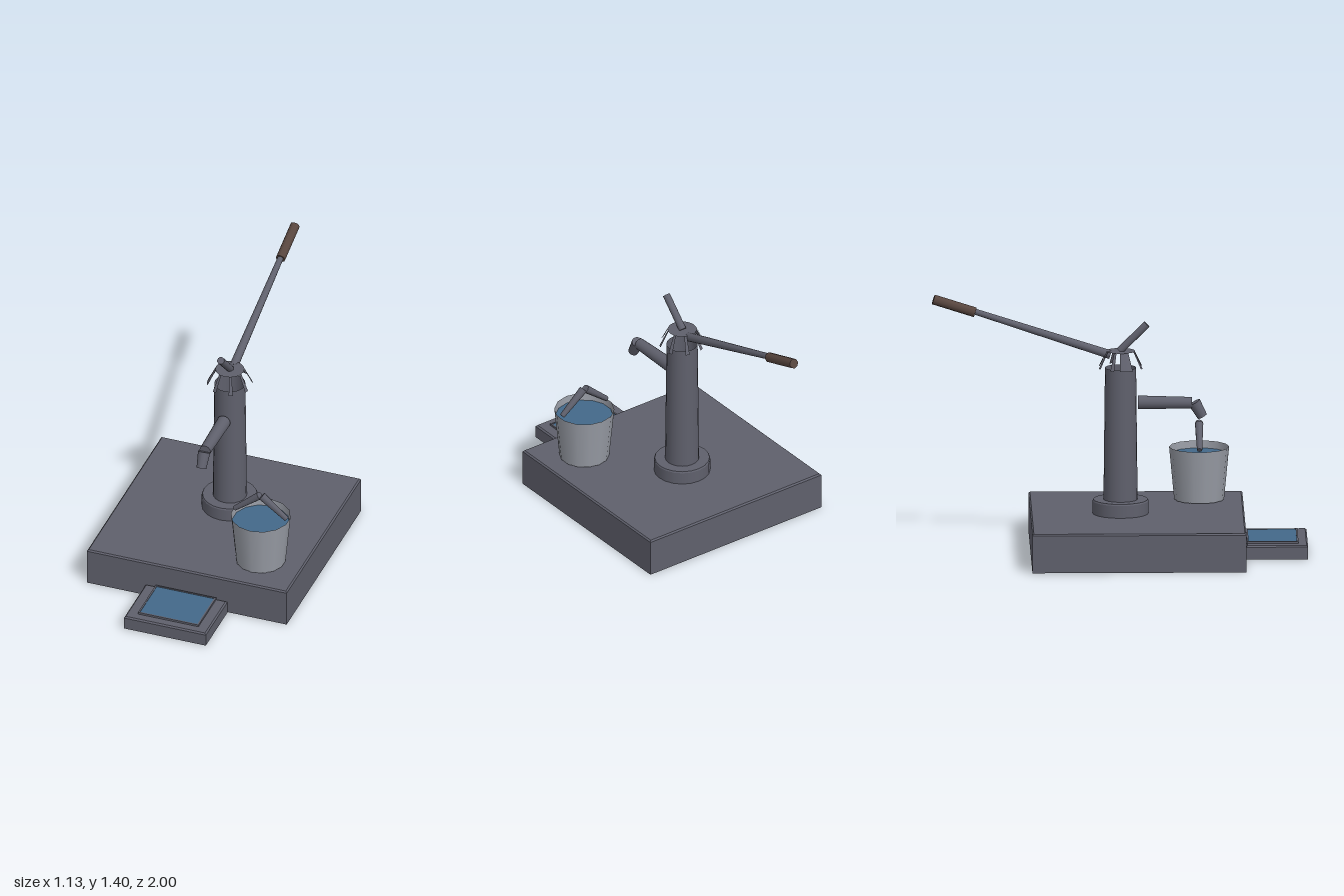
import * as THREE from 'three';

const mat = (name, color, flatShading = false) => {
  const m = new THREE.MeshStandardMaterial({ color, side: THREE.DoubleSide, flatShading });
  m.name = name;
  return m;
};

export function createModel() {
  const iron = mat('darkIron', 0x5f606c);
  const zinc = mat('zinc', 0x989ca5);
  const water = mat('water', 0x43698a);
  const wood = mat('gripWood', 0x58463f);
  iron.flatShading = false;

  const model = new THREE.Group();
  model.name = 'handPump';

  const add = (name, geometry, material, x = 0, y = 0, z = 0, parent = model) => {
    const mesh = new THREE.Mesh(geometry, material);
    mesh.name = name;
    mesh.position.set(x, y, z);
    parent.add(mesh);
    return mesh;
  };

  // Round bar from a to b, with its own radius at each end
  const bar = (name, a, b, ra, rb, material, sides = 12, parent = model) => {
    const p = new THREE.Vector3(...a), q = new THREE.Vector3(...b);
    const dir = q.clone().sub(p);
    const mesh = add(name, new THREE.CylinderGeometry(rb, ra, dir.length(), sides), material, 0, 0, 0, parent);
    mesh.position.copy(p).add(q).multiplyScalar(0.5);
    mesh.quaternion.setFromUnitVectors(new THREE.Vector3(0, 1, 0), dir.normalize());
    return mesh;
  };

  // Hollow block, open underneath, with a small chamfer round the top
  const shell = (name, w, h, d, x, z) => {
    const c = 0.008;
    const rings = [[0, 0], [0, h - c], [c, h], [w / 2, h]].map(([inset, y]) => {
      const i = Math.min(inset, w / 2, d / 2), X = w / 2 - i, Z = inset > c ? 0 : d / 2 - i;
      return [[-X, y, Z], [X, y, Z], [X, y, -Z], [-X, y, -Z]];
    });
    const pos = [];
    for (let r = 0; r < 3; r++) {
      for (let k = 0; k < 4; k++) {
        const n = (k + 1) % 4;
        const [a, b, e, f] = [rings[r][k], rings[r][n], rings[r + 1][n], rings[r + 1][k]];
        pos.push(...a, ...b, ...e, ...a, ...e, ...f);
      }
    }
    const g = new THREE.BufferGeometry();
    g.setAttribute('position', new THREE.Float32BufferAttribute(pos, 3));
    g.computeVertexNormals();
    return add(name, g, iron, x, 0, z);
  };

  // Plinth and the drain basin in front of it
  shell('plinth', 1.135, 0.21, 1.14, 0, 0.095);
  shell('basin', 0.465, 0.075, 0.33, 0, 0.835);
  const rim = new THREE.Shape([[-0.172, -0.137], [0.172, -0.137], [0.172, 0.137], [-0.172, 0.137]]
    .map(p => new THREE.Vector2(...p)));
  rim.holes.push(new THREE.Path([[-0.163, -0.128], [-0.163, 0.128], [0.163, 0.128], [0.163, -0.128]]
    .map(p => new THREE.Vector2(...p))));
  const rimMesh = add('basinRim', new THREE.ExtrudeGeometry(rim, { depth: 0.012, bevelEnabled: false }),
    iron, 0, 0.074, 0.813);
  rimMesh.rotation.x = -Math.PI / 2;
  add('basinWater', new THREE.BoxGeometry(0.326, 0.008, 0.256), water, 0, 0.079, 0.813);

  // Flange and hollow column
  add('flange', new THREE.CylinderGeometry(0.146, 0.15, 0.008, 20), iron, 0, 0.281, 0.005);
  add('flangeSide', new THREE.CylinderGeometry(0.15, 0.15, 0.067, 20, 1, true), iron, 0, 0.2435, 0.005);
  add('column', new THREE.CylinderGeometry(0.083, 0.091, 0.72, 20, 1, true), iron, 0, 0.64, 0.005);

  // Cap: flat disc held over the column by sloping straps
  const cap = new THREE.Group();
  cap.name = 'cap';
  cap.position.z = 0.005;
  model.add(cap);
  const disc = add('capDisc', new THREE.CircleGeometry(0.078, 16), iron, 0, 1.09, 0, cap);
  disc.rotation.x = -Math.PI / 2;
  for (let k = 0; k < 8; k++) {
    const a = Math.PI / 8 + k * Math.PI / 4;
    add('capStrap', new THREE.CylinderGeometry(0.077, 0.122, 0.09, 1, 1, true, a - 0.09, 0.18),
      iron, 0, 1.045, 0, cap);
  }
  add('capPanel', new THREE.CylinderGeometry(0.077, 0.122, 0.09, 3, 1, true, -Math.PI / 2 - 0.05, 0.6),
    iron, 0, 1.045, 0, cap);

  // Lever, grip and the short front arm
  bar('lever', [0, 1.07, -0.05], [0, 1.31, -0.78], 0.024, 0.016, iron);
  bar('leverGrip', [0, 1.303, -0.77], [0, 1.374, -0.992], 0.027, 0.027, wood, 8);
  bar('frontArm', [0, 1.09, 0.0], [0, 1.235, 0.145], 0.02, 0.02, iron);

  // Spout with a turned-down nozzle
  bar('spout', [0, 0.81, 0.098], [0, 0.807, 0.385], 0.037, 0.031, iron, 16);
  bar('nozzle', [0, 0.809, 0.398], [0, 0.732, 0.441], 0.034, 0.027, iron, 12);

  // Bucket with water and a peaked handle
  const bucket = new THREE.Group();
  bucket.name = 'bucket';
  bucket.position.set(0.333, 0, 0.43);
  model.add(bucket);
  add('bucketWall', new THREE.CylinderGeometry(0.16, 0.133, 0.285, 14, 1, true), zinc, 0, 0.3575, 0, bucket);
  const floor = add('bucketFloor', new THREE.CircleGeometry(0.133, 14), zinc, 0, 0.216, 0, bucket);
  floor.rotation.x = -Math.PI / 2;
  const surface = add('bucketWater', new THREE.CircleGeometry(0.154, 14), water, 0, 0.46, 0, bucket);
  surface.rotation.set(-Math.PI / 2, 0, -Math.PI / 2);
  for (const s of [-1, 1]) {
    bar('bucketHandle', [s * 0.147, 0.51, 0], [s * 0.006, 0.625, 0], 0.014, 0.022, iron, 8, bucket);
  }

  return model;
}
